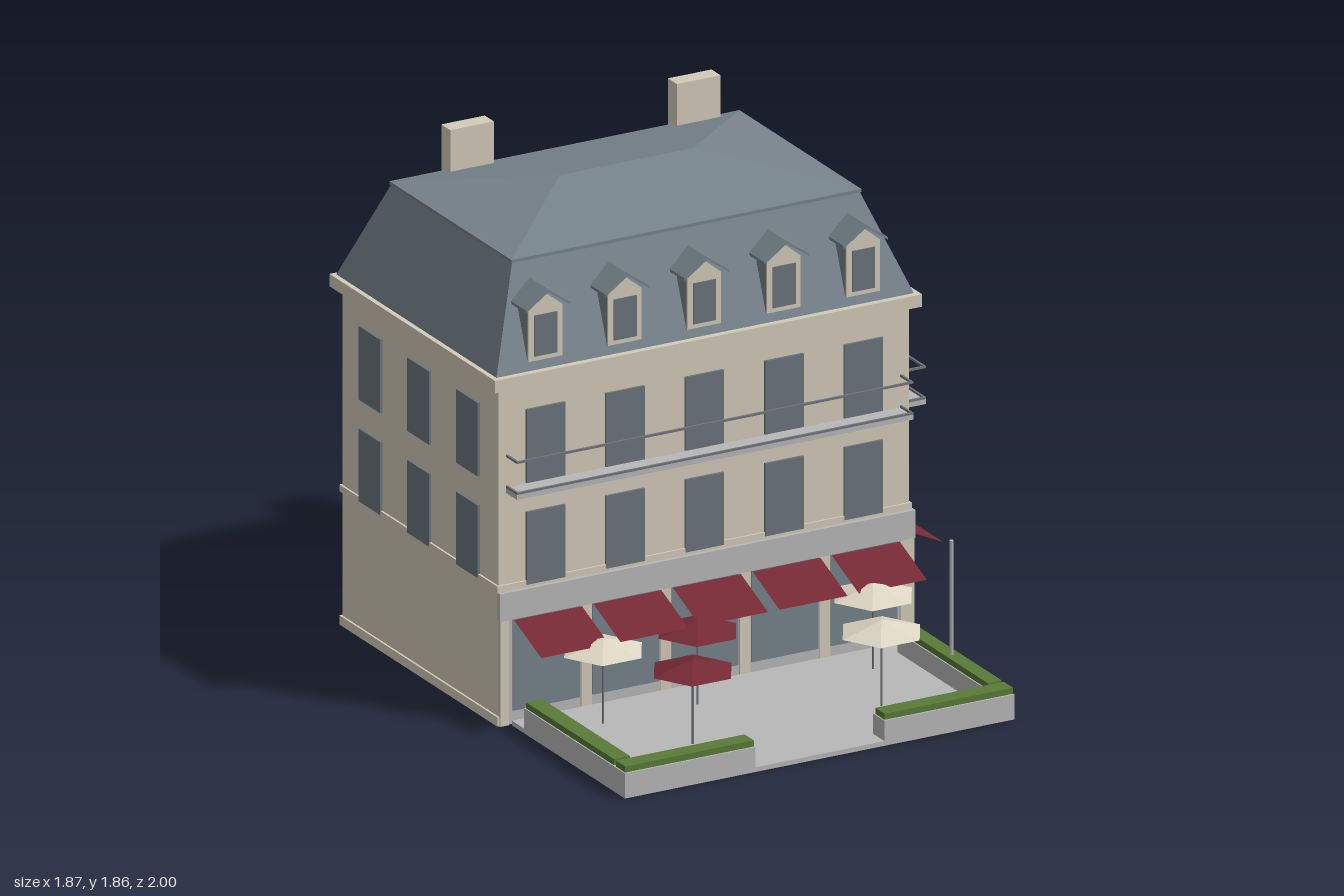
import * as THREE from 'three';

const mat = (name, color, double) => {
  const m = new THREE.MeshStandardMaterial({ color });
  m.name = name;
  if (double) m.side = THREE.DoubleSide;
  return m;
};

export function createModel() {
  const stone = mat('stone', 0xd3cbb9, true);
  const slate = mat('slate', 0x77838c);
  const windowGlass = mat('windowGlass', 0x6b747e);
  const shopGlass = mat('shopGlass', 0x76828b);
  const concrete = mat('concrete', 0xb8b8b8);
  const red = mat('redCanvas', 0x762a34, true);
  const cream = mat('creamCanvas', 0xdfd6c4, true);
  const hedgeGreen = mat('hedgeGreen', 0x597a38);
  const shutterBlue = mat('shutterBlue', 0x82959f);
  const iron = mat('iron', 0x70757c);

  const root = new THREE.Group();
  const add = (name, geo, material) => {
    const m = new THREE.Mesh(geo, material);
    m.name = name;
    root.add(m);
    return m;
  };
  // box given by its limits
  const box = (name, material, x0, x1, y0, y1, z0, z1) => {
    const g = new THREE.BoxGeometry(x1 - x0, y1 - y0, z1 - z0);
    g.translate((x0 + x1) / 2, (y0 + y1) / 2, (z0 + z1) / 2);
    return add(name, g, material);
  };
  // box whose top rectangle differs from its bottom one
  const taper = (name, material, [a0, a1, c0, c1], y0, [b0, b1, d0, d1], y1) => {
    const g = new THREE.BoxGeometry(1, 1, 1), p = g.attributes.position;
    for (let i = 0; i < p.count; i++) {
      const top = p.getY(i) > 0, right = p.getX(i) > 0, front = p.getZ(i) > 0;
      p.setXYZ(i, top ? (right ? b1 : b0) : (right ? a1 : a0), top ? y1 : y0,
        top ? (front ? d1 : d0) : (front ? c1 : c0));
    }
    g.computeVertexNormals();
    return add(name, g, material);
  };
  const extrude = (name, material, pts, z0, z1, x) => {
    const s = new THREE.Shape(pts.map(([a, b]) => new THREE.Vector2(a, b)));
    const g = new THREE.ExtrudeGeometry(s, { depth: z1 - z0, bevelEnabled: false });
    return add(name, g.translate(x, 0, z0), material);
  };

  // main walls, hollow and open below
  const X0 = -0.905, X1 = 0.755, Z0 = -0.962, Z1 = 0.163;
  const walls = box('walls', stone, X0, X1, 0, 1.28, Z0, Z1);
  const idx = Array.from(walls.geometry.index.array);
  idx.splice(18, 6);
  walls.geometry.setIndex(idx);
  walls.geometry.clearGroups();

  // trim running round the walls
  const ring = (name, y0, y1, o) => {
    box(name, stone, X0 - o, X1 + o, y0, y1, Z1, Z1 + o);
    box(name, stone, X0 - o, X1 + o, y0, y1, Z0 - o, Z0);
    box(name, stone, X0 - o, X0, y0, y1, Z0, Z1);
    box(name, stone, X1, X1 + o, y0, y1, Z0, Z1);
  };
  ring('plinth', 0, 0.035, 0.008);
  ring('ledge', 0.505, 0.53, 0.008);
  box('cornice', stone, -0.937, 0.79, 1.275, 1.322, -0.998, 0.197);

  // plates lying on a wall; u runs along the wall, d0 to d1 outward
  const onWall = (wall, name, m, u0, u1, y0, y1, d0, d1) => {
    if (wall === 'front') box(name, m, u0, u1, y0, y1, Z1 + d0, Z1 + d1);
    if (wall === 'back') box(name, m, u0, u1, y0, y1, Z0 - d1, Z0 - d0);
    if (wall === 'left') box(name, m, X1 + d0, X1 + d1, y0, y1, u0, u1);
    if (wall === 'right') box(name, m, X0 - d1, X0 - d0, y0, y1, u0, u1);
  };
  const bayX = [-0.717, -0.396, -0.075, 0.247, 0.568];
  const bayZ = [0.047, 0.4, 0.752].map(z => -z);
  const upper = { front: bayX, left: bayZ, right: bayZ };
  for (const wall in upper) for (const u of upper[wall]) {
    for (const [y0, y1] of [[0.515, 0.79], [0.9, 1.178]])
      onWall(wall, 'window', windowGlass, u - 0.078, u + 0.078, y0, y1, 0, 0.0095);
  }

  // shopfronts on the two street sides
  const shop = (wall, bays, u0, u1, piers) => {
    onWall(wall, 'shopFrame', concrete, u0, u1, 0, 0.4, 0, 0.009);
    for (const u of bays)
      onWall(wall, 'shopWindow', shopGlass, u - 0.135, u + 0.135, 0.05, 0.4, 0.009, 0.012);
    for (const [a, b] of piers) onWall(wall, 'pilaster', stone, a, b, 0, 0.4, 0, 0.015);
  };
  shop('front', bayX, X0, X1, [[X0, -0.87], [-0.578, -0.535], [-0.257, -0.214], [0.064, 0.107],
    [0.386, 0.429], [0.712, X1 + 0.015]]);
  shop('left', bayZ, Z0, Z1, [[0.112, Z1], [-0.246, -0.201], [-0.598, -0.553], [Z0, -0.918]]);
  box('fascia', concrete, -0.91, 0.77, 0.4, 0.505, Z1, 0.185);
  box('fascia', concrete, X1, 0.77, 0.4, 0.505, -0.966, Z1);

  // awnings: thin sloping sheets
  const awning = (x, z, turn, reach) => {
    const g = new THREE.PlaneGeometry(0.275, 1), p = g.attributes.position;
    for (let i = 0; i < p.count; i++) {
      const top = p.getY(i) > 0;
      p.setY(i, top ? 0.398 : 0.32);
      p.setZ(i, top ? 0 : reach);
    }
    g.computeVertexNormals();
    const m = add('awning', g, red);
    m.position.set(x, 0, z);
    m.rotation.y = turn;
  };
  bayX.forEach(x => awning(x, 0.186, 0, 0.196));
  bayZ.forEach(z => awning(0.771, z, Math.PI / 2, 0.164));

  // balconies with a hand rail and a foot rail
  box('frontBalcony', concrete, -0.875, 0.727, 0.876, 0.895, Z1, 0.245);
  box('sideBalcony', concrete, X1, 0.84, 0.876, 0.895, -0.928, 0.135);
  const t = 0.008;
  for (const y of [0.895, 1.012]) {
    box('frontRail', iron, -0.875, 0.727, y, y + t, 0.245 - t, 0.245);
    for (const x of [-0.875, 0.727 - t]) box('frontRailEnd', iron, x, x + t, y, y + t, Z1, 0.245 - t);
    box('sideRail', iron, 0.84 - t, 0.84, y, y + t, -0.928, 0.135);
    for (const z of [-0.928, 0.135 - t]) box('sideRailEnd', iron, X1, 0.84 - t, y, y + t, z, z + t);
  }

  // back windows with shutters, and the back door
  [0.482, 0.11, -0.26, -0.63].forEach((x, i) => {
    [0.595, 0.985].forEach((y, row) => {
      if (i === 0 && row === 1) {
        onWall('back', 'closedShutters', shutterBlue, x - 0.072, x + 0.072, y, y + 0.21, 0, 0.006);
        return;
      }
      onWall('back', 'backWindow', windowGlass, x - 0.052, x + 0.052, y, y + 0.21, 0, 0.004);
      for (const s of [-1, 1])
        onWall('back', 'shutter', shutterBlue, x + s * 0.096 - 0.044, x + s * 0.096 + 0.044, y, y + 0.21, 0, 0.008);
    });
  });
  onWall('back', 'backDoor', windowGlass, 0.305, 0.43, 0.01, 0.3, 0, 0.0095);

  // two-pitch roof
  const eave = [-0.918, 0.77, -0.983, 0.172], brk = [-0.775, 0.63, -0.84, 0.03];
  taper('lowerRoof', slate, eave, 1.322, brk, 1.685);
  box('roofLip', slate, -0.78, 0.635, 1.683, 1.695, -0.845, 0.035);
  taper('upperRoof', slate, brk, 1.695, [-0.343, 0.198, -0.402, -0.4], 1.785);

  // chimneys
  for (const x of [-0.47, 0.447]) box('chimney', stone, x - 0.088, x + 0.088, 1.55, 1.86, -0.868, -0.803);

  // dormers
  const gable = [[-0.068, 1.355], [0.068, 1.355], [0.068, 1.55], [0, 1.605], [-0.068, 1.55]];
  const hood = [[-0.09, 1.55], [0, 1.612], [0.09, 1.55], [0.09, 1.56], [0, 1.625], [-0.09, 1.56]];
  for (const x of bayX) {
    extrude('dormerBody', slate, gable, 0.02, 0.16, x);
    extrude('dormerFront', stone, gable, 0.16, 0.168, x);
    extrude('dormerRoof', slate, hood, 0.02, 0.187, x);
    box('dormerWindow', windowGlass, x - 0.046, x + 0.046, 1.372, 1.527, 0.168, 0.172);
  }

  // terrace with low walls and hedges
  box('terraceFloor', concrete, -0.862, 0.713, 0, 0.018, 0.185, 1);
  const planters = [[-0.862, -0.79, 0.27, 0.918], [0.65, 0.713, 0.27, 0.918],
    [-0.862, -0.335, 0.918, 1], [0.187, 0.713, 0.918, 1]];
  for (const [a, b, c, d] of planters) {
    box('terraceWall', concrete, a, b, 0.018, 0.095, c, d);
    box('hedge', hedgeGreen, a + 0.005, b - 0.002, 0.095, 0.118, c + 0.008, d - 0.007);
  }

  // lamp post
  add('post', new THREE.CylinderGeometry(0.008, 0.008, 0.54, 8).translate(0.68, 0.28, 0.605), concrete);

  // parasols
  const parasols = [[-0.595, 0.365, cream], [-0.213, 0.365, red], [0.497, 0.365, cream],
    [-0.416, 0.693, red], [0.347, 0.693, cream]];
  for (const [x, z, m] of parasols) {
    const cone = new THREE.ConeGeometry(0.157, 0.045, 6, 1, true, Math.PI / 6).toNonIndexed();
    cone.computeVertexNormals();
    add('parasolCanopy', cone.translate(x, 0.318, z), m);
    add('parasolPole', new THREE.CylinderGeometry(0.004, 0.004, 0.315, 6).translate(x, 0.175, z), iron);
  }
  return root;
}
